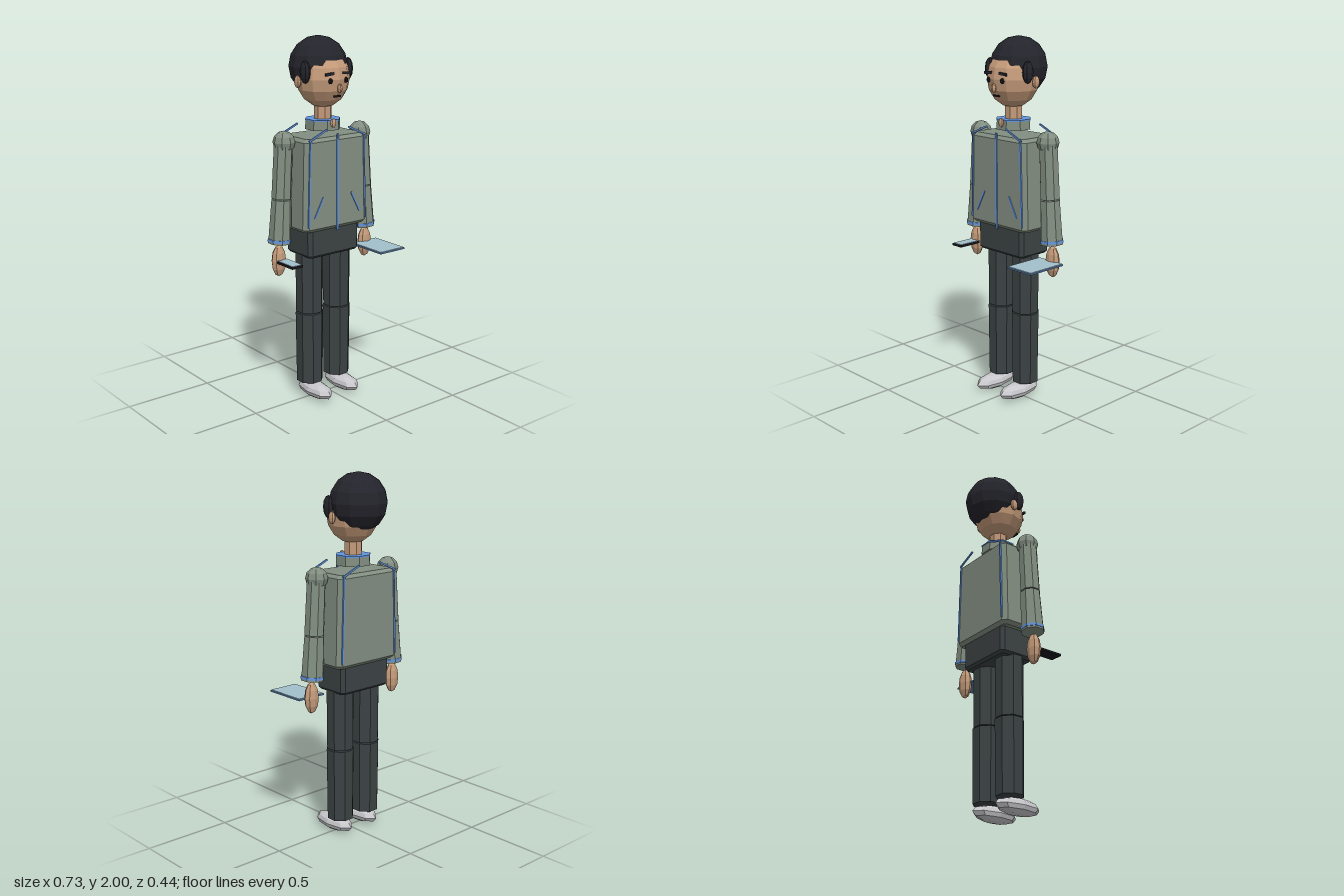
import * as THREE from 'three';

const mat = (name, color) => {
  const m = new THREE.MeshStandardMaterial({ color, flatShading: true });
  m.name = name;
  return m;
};

export function createModel() {
  const M = {
    jacket: mat('jacket grey green', 0x838f82),
    trim: mat('trim blue', 0x6496e0),
    trousers: mat('trousers charcoal', 0x3c4344),
    skin: mat('skin', 0xc69c7b),
    hair: mat('hair black', 0x24242c),
    shoe: mat('shoe light grey', 0xc8c8cc),
    screen: mat('screen pale blue', 0xa2c0cc),
    tablet: mat('tablet blue', 0x587fae),
    black: mat('black', 0x17181c),
  };
  const model = new THREE.Group();
  const body = new THREE.Group();
  body.name = 'body';
  body.position.set(-0.015, 0, -0.028);
  model.add(body);

  const add = (name, geo, material, x = 0, y = 0, z = 0, parent = body) => {
    const mesh = new THREE.Mesh(geo, material);
    mesh.name = name;
    mesh.position.set(x, y, z);
    parent.add(mesh);
    return mesh;
  };
  const ball = (name, material, c, r, w = 8, h = 6) =>
    add(name, new THREE.SphereGeometry(1, w, h).scale(...r), material, ...c);

  // Eight-sided tube between two points, flat side to the front
  const limb = (name, material, top, bottom, rTop, rBottom) => {
    const a = new THREE.Vector3(...top), b = new THREE.Vector3(...bottom);
    const k = 1 / Math.cos(Math.PI / 8);
    const geo = new THREE.CylinderGeometry(rTop * k, rBottom * k, a.distanceTo(b), 8).rotateY(Math.PI / 8);
    const mesh = add(name, geo, material, ...a.clone().add(b).multiplyScalar(0.5).toArray());
    mesh.quaternion.setFromUnitVectors(new THREE.Vector3(0, 1, 0), a.sub(b).normalize());
    return mesh;
  };

  // Thin seam line in the xy plane
  const seam = (name, p, q, z, width = 0.009) => {
    const dx = q[0] - p[0], dy = q[1] - p[1];
    const mesh = add(name, new THREE.BoxGeometry(width, Math.hypot(dx, dy), 0.008), M.trim,
      (p[0] + q[0]) / 2, (p[1] + q[1]) / 2, z);
    mesh.rotation.z = Math.atan2(-dx, dy);
  };

  // Box with chamfered edges, standing on y0; taper narrows the top
  const chamferBox = (name, material, hx, hz, y0, y1, b, taper = 1) => {
    const x = hx - b, z = hz - b, c = b * 0.8;
    const shape = new THREE.Shape([[x, c - z], [x, z - c], [x - c, z], [c - x, z],
      [-x, z - c], [-x, c - z], [c - x, -z], [x - c, -z]].map(p => new THREE.Vector2(...p)));
    const geo = new THREE.ExtrudeGeometry(shape, {
      depth: y1 - y0 - 2 * b, bevelEnabled: true, bevelSegments: 1, bevelSize: b, bevelThickness: b,
    }).translate(0, 0, b).rotateX(-Math.PI / 2);
    const p = geo.attributes.position;
    for (let i = 0; i < p.count; i++) {
      p.setX(i, p.getX(i) * THREE.MathUtils.lerp(1, taper, p.getY(i) / (y1 - y0)));
    }
    geo.computeVertexNormals();
    add(name, geo, material, 0, y0, 0);
  };

  // Head and hair: two overlapping faceted spheres make the hairline
  ball('head', M.skin, [0, 1.782, 0.003], [0.145, 0.158, 0.141], 12, 8);
  ball('hair', M.hair, [0, 1.841, -0.039], [0.158, 0.159, 0.158], 12, 8);
  ball('nose', M.skin, [0, 1.738, 0.142], [0.012, 0.025, 0.02], 6, 4);
  add('mouth', new THREE.BoxGeometry(0.042, 0.009, 0.009), M.black, 0, 1.695, 0.124);
  for (const s of [-1, 1]) {
    ball('ear', M.skin, [s * 0.158, 1.77, -0.009], [0.014, 0.034, 0.024]);
    ball('sideburn', M.hair, [s * 0.142, 1.822, 0.035], [0.024, 0.06, 0.034]);
    ball('eye', M.black, [s * 0.051, 1.777, 0.13], [0.013, 0.015, 0.012]);
    const brow = add('eyebrow', new THREE.BoxGeometry(0.054, 0.014, 0.01), M.hair, s * 0.055, 1.813, 0.13);
    brow.rotation.z = s * -0.08;
  }

  // Neck and collar
  limb('neck', M.skin, [0, 1.64, 0], [0, 1.52, 0], 0.045, 0.045);
  limb('collar', M.jacket, [0, 1.558, 0], [0, 1.51, 0], 0.088, 0.09);
  limb('collarRim', M.trim, [0, 1.566, 0], [0, 1.558, 0], 0.09, 0.09);
  ball('throat', M.skin, [0, 1.55, 0.09], [0.019, 0.025, 0.011]);

  // Jacket body and hips
  chamferBox('jacketBody', M.jacket, 0.215, 0.126, 0.983, 1.484, 0.018, 0.94);
  chamferBox('hips', M.trousers, 0.172, 0.108, 0.832, 1.0, 0.014);

  // Jacket seams
  seam('zip', [0, 1.5], [0, 0.975], 0.127, 0.012);
  for (const s of [-1, 1]) {
    seam('pocketSeam', [s * 0.094, 1.17], [s * 0.152, 1.06], 0.127);
    for (const z of [-0.127, 0.127]) {
      seam('shoulderSeam', [s * 0.188, 1.477], [s * 0.073, 1.527], z);
      seam('sideSeam', [s * 0.179, 1.475], [s * 0.192, 1.015], z);
    }
  }

  // Arms, hands, legs and shoes
  for (const s of [-1, 1]) {
    ball('shoulder', M.jacket, [s * 0.257, 1.465, 0], [0.06, 0.06, 0.06]);
    limb('upperArm', M.jacket, [s * 0.26, 1.46, 0], [s * 0.277, 1.168, 0], 0.047, 0.05);
    limb('forearm', M.jacket, [s * 0.277, 1.162, 0], [s * 0.292, 0.925, 0], 0.05, 0.058);
    limb('cuffTrim', M.trim, [s * 0.2915, 0.949, 0], [s * 0.2925, 0.935, 0], 0.06, 0.06);
    ball('hand', M.skin, [s * 0.299, 0.828, 0], [0.045, 0.087, 0.031]);
    limb('thigh', M.trousers, [s * 0.095, 0.85, 0], [s * 0.095, 0.503, 0], 0.072, 0.07);
    limb('shin', M.trousers, [s * 0.095, 0.497, 0], [s * 0.095, 0.09, 0], 0.073, 0.069);
    ball('shoe', M.shoe, [s * 0.095, 0.046, 0.05], [0.06, 0.044, 0.141]);
  }

  // Flat devices held in the hands
  const device = (name, material, x0, x1, z0, z1, thick, rim) => {
    const x = (x0 + x1) / 2, z = (z0 + z1) / 2;
    add(name, new THREE.BoxGeometry(x1 - x0, thick, z1 - z0), material, x, 0.828, z, model);
    add(name + 'Screen', new THREE.BoxGeometry(x1 - x0 - 2 * rim, 0.004, z1 - z0 - 2 * rim), M.screen,
      x, 0.829 + thick / 2, z, model);
  };
  device('tablet', M.tablet, 0.192, 0.366, -0.023, 0.22, 0.008, 0.004);
  device('phone', M.black, -0.343, -0.272, -0.01, 0.132, 0.012, 0.005);

  return model;
}
